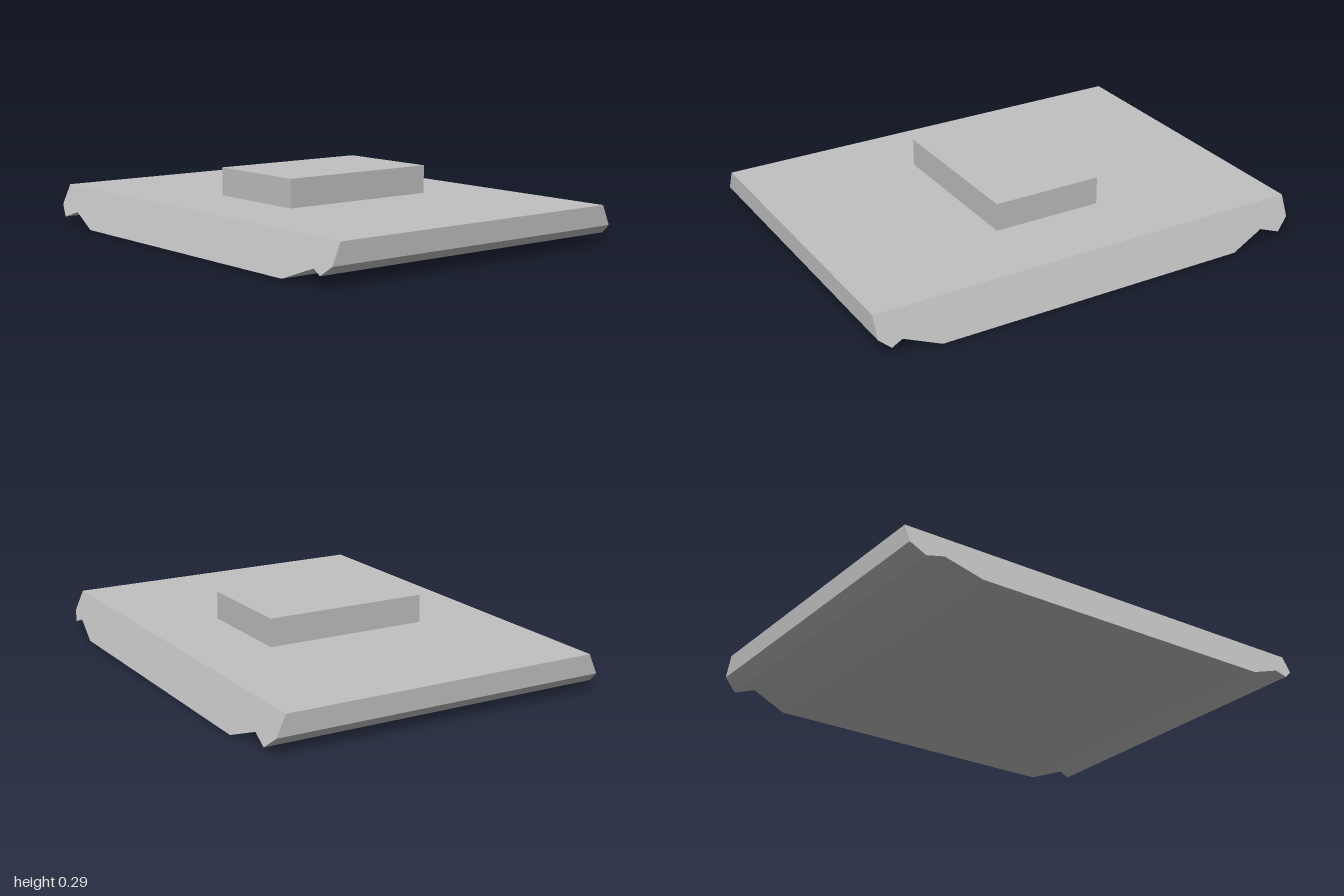
import * as THREE from 'three';

export function createModel() {
  const group = new THREE.Group();
  const grey = new THREE.MeshStandardMaterial({ color: 0xc0c0c0 });
  grey.name = 'plain grey';

  // Slab: notched cross-section, with front and back faces leaning inwards
  const profile = [
    [-1, 0.17], [-1, 0.08], [-0.94, 0.03], [-0.85, 0.06], [-0.69, 0],
    [0.74, 0], [0.9, 0.06], [0.95, 0.04], [1, 0.08], [1, 0.17],
  ].map(([x, y]) => new THREE.Vector2(x, y));
  const slabGeometry = new THREE.ExtrudeGeometry(new THREE.Shape(profile), {
    depth: 2, bevelEnabled: false,
  });
  slabGeometry.translate(0, 0, -1);
  const pos = slabGeometry.attributes.position;
  for (let i = 0; i < pos.count; i++) {
    const halfDepth = THREE.MathUtils.lerp(0.795, 0.72, pos.getY(i) / 0.17);
    pos.setZ(i, pos.getZ(i) * halfDepth);
  }
  slabGeometry.computeVertexNormals();
  const slab = new THREE.Mesh(slabGeometry, grey);
  slab.name = 'slab';
  group.add(slab);

  // Raised block in the middle of the top
  const block = new THREE.Mesh(new THREE.BoxGeometry(0.5, 0.125, 0.75), grey);
  block.name = 'raisedBlock';
  block.position.y = 0.17 + 0.125 / 2;
  group.add(block);

  return group;
}
